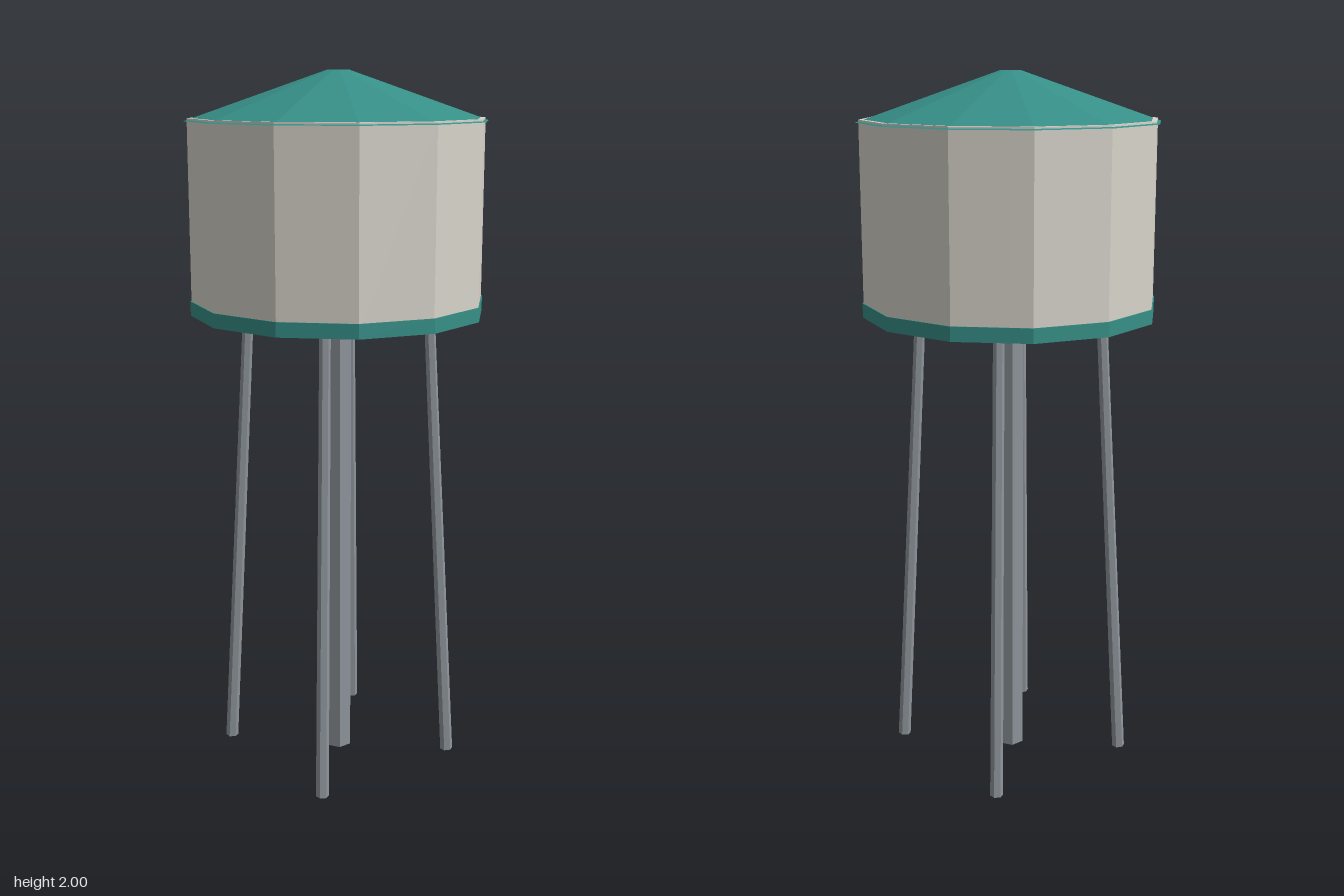
import * as THREE from 'three';

export function createModel() {
  const model = new THREE.Group();
  model.name = 'waterTower';

  const flat = (name, color) => {
    const m = new THREE.MeshStandardMaterial({ color, flatShading: true });
    m.name = name;
    return m;
  };
  const cream = flat('cream', 0xd8d4cb);
  const teal = flat('teal', 0x369088);
  const steel = flat('steel grey', 0x8e959b);

  // Upright prism or frustum between two heights
  const drum = (name, rTop, rBottom, y0, y1, sides, material) => {
    const mesh = new THREE.Mesh(new THREE.CylinderGeometry(rTop, rBottom, y1 - y0, sides), material);
    mesh.position.y = (y0 + y1) / 2;
    mesh.name = name;
    model.add(mesh);
    return mesh;
  };

  // Twelve-sided tank; its top edge shows as a ring through the roof
  drum('tank', 0.412, 0.412, 1.345, 1.873, 12, cream);
  drum('bottomBand', 0.415, 0.415, 1.335, 1.375, 12, teal);
  drum('roof', 0.03, 0.421, 1.865, 2.0, 12, teal);

  // Hexagonal centre pipe
  drum('centrePipe', 0.04, 0.04, 0, 1.35, 6, steel).rotation.y = Math.PI / 6;

  // Four slim legs on the diagonals, leaning inward
  const up = new THREE.Vector3(0, 1, 0);
  for (const sx of [-1, 1]) {
    for (const sz of [-1, 1]) {
      const foot = new THREE.Vector3(sx * 0.235, 0.001, sz * 0.235);
      const head = new THREE.Vector3(sx * 0.182, 1.36, sz * 0.182);
      const axis = head.clone().sub(foot);
      const leg = new THREE.Mesh(new THREE.CylinderGeometry(0.0155, 0.0185, axis.length(), 6), steel);
      leg.position.copy(foot).add(head).multiplyScalar(0.5);
      leg.quaternion.setFromUnitVectors(up, axis.normalize());
      leg.name = (sz > 0 ? 'front' : 'back') + (sx > 0 ? 'Left' : 'Right') + 'Leg';
      model.add(leg);
    }
  }

  return model;
}
